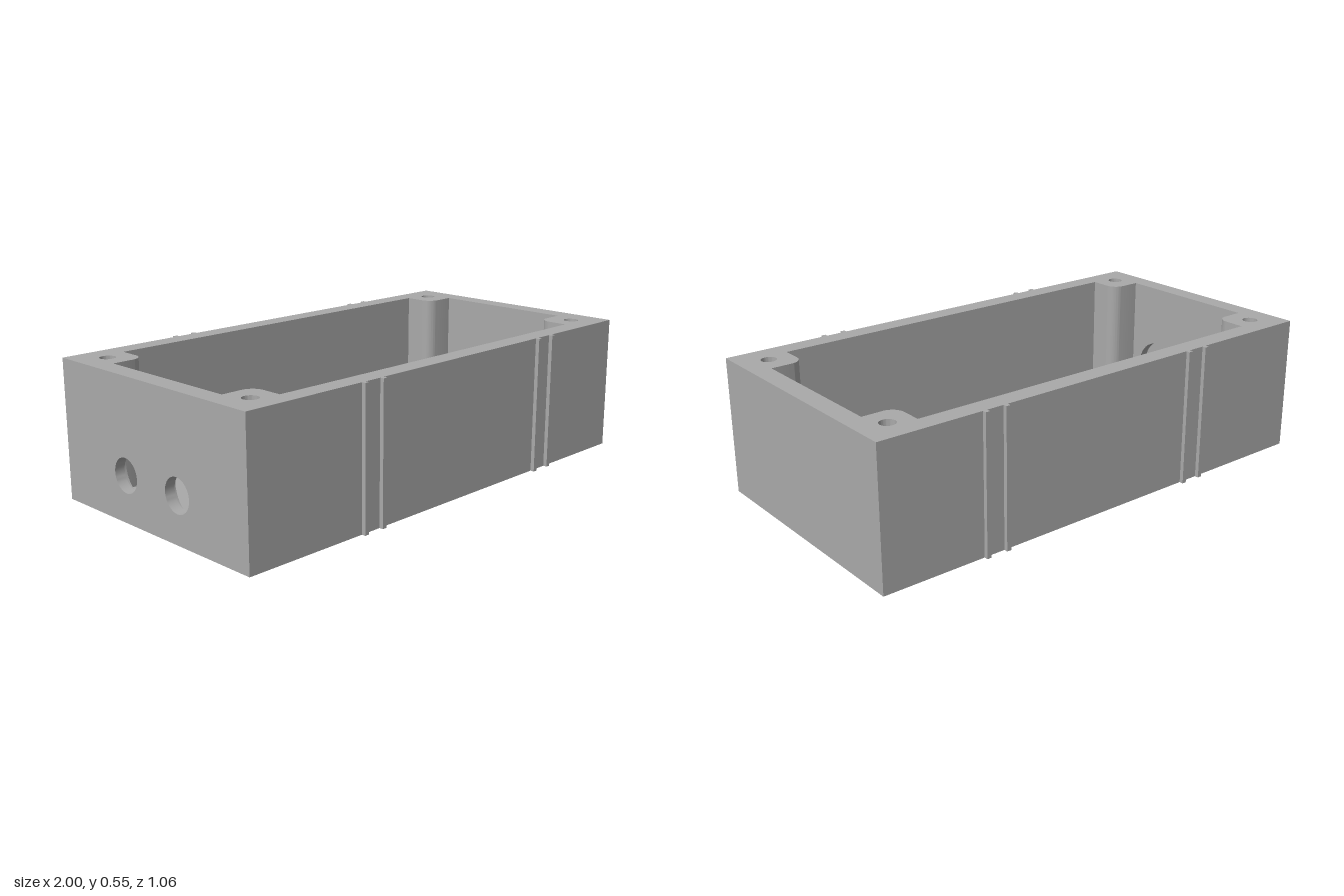
import * as THREE from 'three';
import { toCreasedNormals } from 'three/addons/utils/BufferGeometryUtils.js';

const W = 1, D = 0.514, H = 0.545;        // half width, half depth, height
const IX = 0.9225, IZ = 0.436;            // cavity half sizes
const PX = 0.79, PZ = 0.305, R = 0.05;    // corner pillar faces and rounding
const FLOOR = 0.065;

function circle(x, y, r) {
  return new THREE.Path().absarc(x, y, r, 0, Math.PI * 2, true);
}

function extrude(shape, depth) {
  const g = new THREE.ExtrudeGeometry(shape, { depth, bevelEnabled: false, curveSegments: 20 });
  return toCreasedNormals(g, 0.6);
}

export function createModel() {
  const model = new THREE.Group();
  const grey = new THREE.MeshStandardMaterial({ color: 0xaaaaaa });
  grey.name = 'grey';

  function add(name, geometry, x = 0, y = 0, z = 0) {
    const mesh = new THREE.Mesh(geometry, grey);
    mesh.name = name;
    mesh.position.set(x, y, z);
    model.add(mesh);
  }

  // Solid base slab
  add('base', new THREE.BoxGeometry(2 * W, FLOOR, 2 * D), 0, FLOOR / 2, 0);

  // Three walls and four rounded screw pillars as one C-shaped extrusion
  const c = new THREE.Shape();
  c.moveTo(-IX, -D);
  c.lineTo(W, -D);
  c.lineTo(W, D);
  c.lineTo(-IX, D);
  c.lineTo(-IX, PZ);
  c.lineTo(-PX - R, PZ);
  c.absarc(-PX - R, PZ + R, R, -Math.PI / 2, 0, false);
  c.lineTo(-PX, IZ);
  c.lineTo(PX, IZ);
  c.lineTo(PX, PZ + R);
  c.absarc(PX + R, PZ + R, R, Math.PI, Math.PI * 1.5, false);
  c.lineTo(IX, PZ);
  c.lineTo(IX, -PZ);
  c.lineTo(PX + R, -PZ);
  c.absarc(PX + R, -PZ - R, R, Math.PI / 2, Math.PI, false);
  c.lineTo(PX, -IZ);
  c.lineTo(-PX, -IZ);
  c.lineTo(-PX, -PZ - R);
  c.absarc(-PX - R, -PZ - R, R, 0, Math.PI / 2, false);
  c.lineTo(-IX, -PZ);
  c.closePath();
  for (const x of [-0.883, 0.883]) {
    for (const z of [-0.4, 0.4]) c.holes.push(circle(x, z, 0.03));
  }
  add('walls', extrude(c, H - FLOOR).rotateX(-Math.PI / 2), 0, FLOOR, 0);

  // End wall in two layers: cable holes outside, wider counterbores inside
  function endLayer(name, x0, x1, r) {
    const s = new THREE.Shape();
    s.moveTo(-D, FLOOR);
    s.lineTo(D, FLOOR);
    s.lineTo(D, H);
    s.lineTo(-D, H);
    s.closePath();
    for (const z of [-0.147, 0.147]) s.holes.push(circle(z, 0.18, r));
    add(name, extrude(s, x1 - x0).rotateY(Math.PI / 2), x0, 0, 0);
  }
  endLayer('endWallOuter', -W, -0.96, 0.066);
  endLayer('endWallInner', -0.96, -IX, 0.112);

  // Hollow standoffs on the floor, with a slightly chamfered bore
  const profile = [[0.022, 0], [0.022, 0.05], [0.027, 0.055], [0.038, 0.055], [0.038, 0]]
    .map(([r, y]) => new THREE.Vector2(r, y)).reverse();
  const standoff = toCreasedNormals(new THREE.LatheGeometry(profile, 32), 0.6);
  for (const x of [0.07, 0.7]) {
    for (const z of [-0.218, 0.218]) add('standoff', standoff, x, FLOOR, z);
  }

  // Paired vertical ribs on both long sides
  const rib = new THREE.BoxGeometry(0.018, H, 0.026);
  for (const x of [-0.483, -0.395, 0.489, 0.576]) {
    for (const side of [-1, 1]) add('rib', rib, x, H / 2, side * (D + 0.003));
  }

  return model;
}
